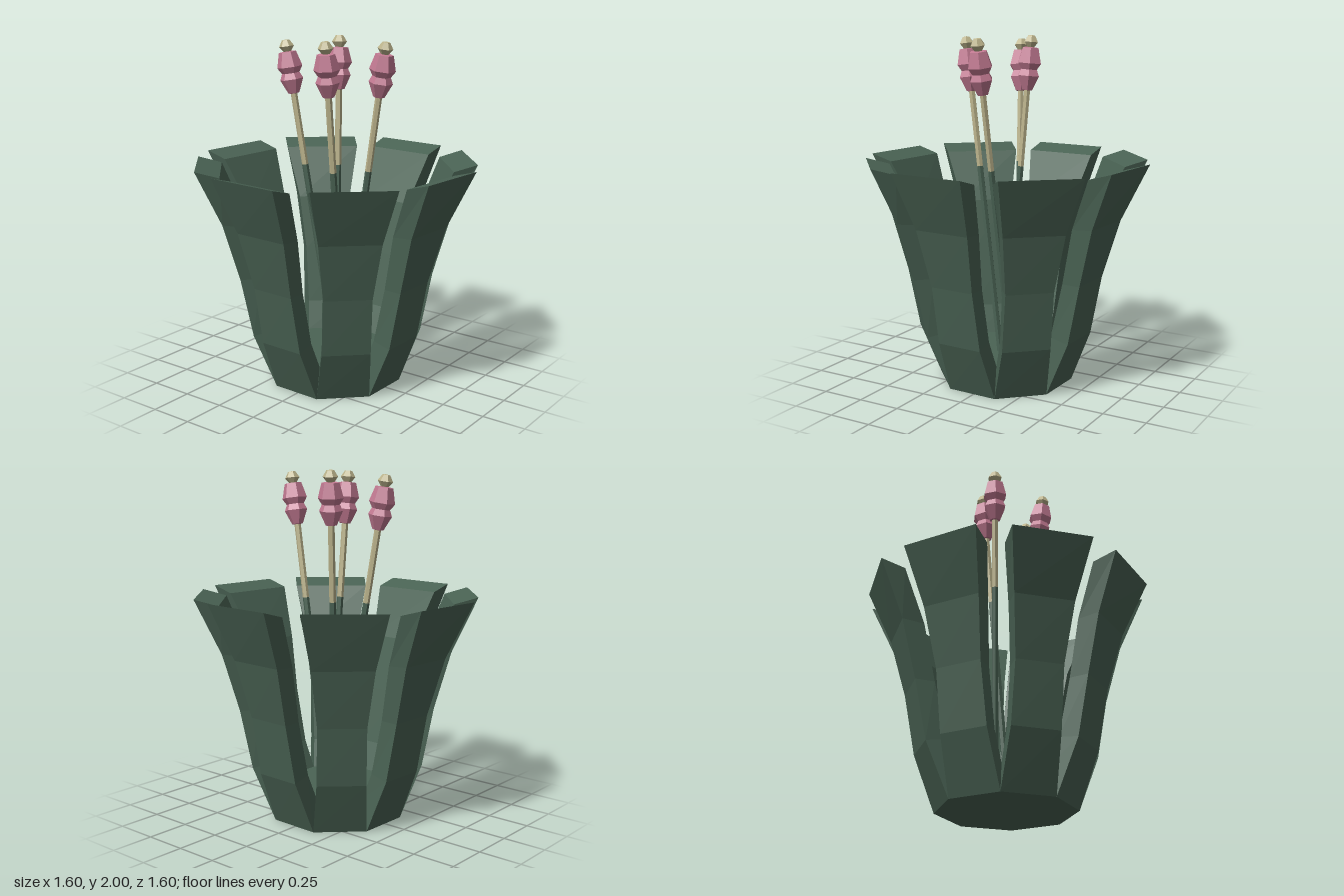
import * as THREE from 'three';

const flat = (name, color) => {
  const m = new THREE.MeshStandardMaterial({ color, flatShading: true });
  m.name = name;
  return m;
};
const DEG = Math.PI / 180;

// Petal rings: outer [radius, y, width], inner [radius, y, width], twist in degrees
const RINGS = [
  [[0.362, 0, 0.3], [0.305, 0.17, 0.2527], 0],
  [[0.488, 0.31, 0.272], [0.37, 0.33, 0.24], 0.5],
  [[0.555, 0.65, 0.266], [0.445, 0.65, 0.25], 1],
  [[0.645, 0.98, 0.335], [0.52, 0.97, 0.315], 1.6],
  [[0.785, 1.3, 0.447], [0.65, 1.262, 0.44], 2.4],
];

// One thick petal facing +z, lofted through four-cornered rings
function petalGeometry() {
  const rings = RINGS.map(([outer, inner, twist]) => {
    const c = Math.cos(twist * DEG), s = Math.sin(twist * DEG);
    const corner = ([r, y, w], side) => [side * w / 2 * c, y, r + side * w / 2 * s];
    return [corner(outer, -1), corner(outer, 1), corner(inner, 1), corner(inner, -1)];
  });
  const pos = [];
  const quad = (a, b, c, d) => pos.push(...a, ...b, ...c, ...a, ...c, ...d);
  for (let i = 0; i < rings.length - 1; i++) {
    for (let j = 0; j < 4; j++) {
      const k = (j + 1) % 4;
      quad(rings[i][j], rings[i][k], rings[i + 1][k], rings[i + 1][j]);
    }
  }
  quad(...rings[rings.length - 1]); // rim
  const g = new THREE.BufferGeometry();
  g.setAttribute('position', new THREE.Float32BufferAttribute(pos, 3));
  g.computeVertexNormals();
  return g;
}

export function createModel() {
  const green = flat('dark green', 0x4a6354);
  const pink = flat('dusty pink', 0xc27a92);
  const cream = flat('pale straw', 0xbdb58d);

  const model = new THREE.Group();
  model.name = 'flower';
  const add = (parent, name, geometry, material) => {
    const m = new THREE.Mesh(geometry, material);
    m.name = name;
    parent.add(m);
    return m;
  };

  // Cup: eight petals on an octagonal base
  const cup = new THREE.Group();
  cup.name = 'cup';
  cup.rotation.y = -1.5 * DEG;
  model.add(cup);
  const petal = petalGeometry();
  for (let i = 0; i < 8; i++) add(cup, 'petal', petal, green).rotation.y = i * Math.PI / 4;
  const octagon = (apothem) => new THREE.CircleGeometry(apothem / Math.cos(Math.PI / 8), 8, Math.PI / 8);
  add(cup, 'base', octagon(0.362).rotateX(Math.PI / 2), green);
  add(cup, 'floor', octagon(0.305).rotateX(-Math.PI / 2), green).position.y = 0.17;

  // Stamens: foot [x, z] on the floor and tip [x, y, z]
  const lathe = (pts) => new THREE.LatheGeometry(pts.map(([r, y]) => new THREE.Vector2(r, y)), 6);
  const tube = (y0, y1) => new THREE.CylinderGeometry(0.019, 0.019, y1 - y0, 6).translate(0, (y0 + y1) / 2, 0);
  const stamens = [
    [[0.03, -0.05], [0.33, 1.985, -0.015]],
    [[-0.045, -0.045], [-0.3, 1.973, 0.067]],
    [[0.005, 0], [-0.065, 1.998, -0.13]],
    [[0.065, 0], [0.087, 1.99, 0.208]],
  ];
  for (const [[x, z], tip] of stamens) {
    const foot = new THREE.Vector3(x, 0.165, z);
    const axis = new THREE.Vector3(...tip).sub(foot);
    const L = axis.length();
    const split = L * (1.26 - foot.y) / axis.y;
    const stamen = new THREE.Group();
    stamen.name = 'stamen';
    stamen.position.copy(foot);
    stamen.quaternion.setFromUnitVectors(new THREE.Vector3(0, 1, 0), axis.normalize());
    model.add(stamen);
    add(stamen, 'lowerStem', tube(0, split), green);
    add(stamen, 'upperStem', tube(split, L - 0.29), cream);
    add(stamen, 'anther', lathe([[0, L - 0.31], [0.032, L - 0.305], [0.067, L - 0.225], [0.051, L - 0.19],
      [0.073, L - 0.155], [0.05, L - 0.07], [0, L - 0.065]]), pink);
    add(stamen, 'antherTip', lathe([[0.02, L - 0.07], [0.043, L - 0.038], [0.022, L - 0.003], [0, L]]), cream);
  }
  return model;
}
